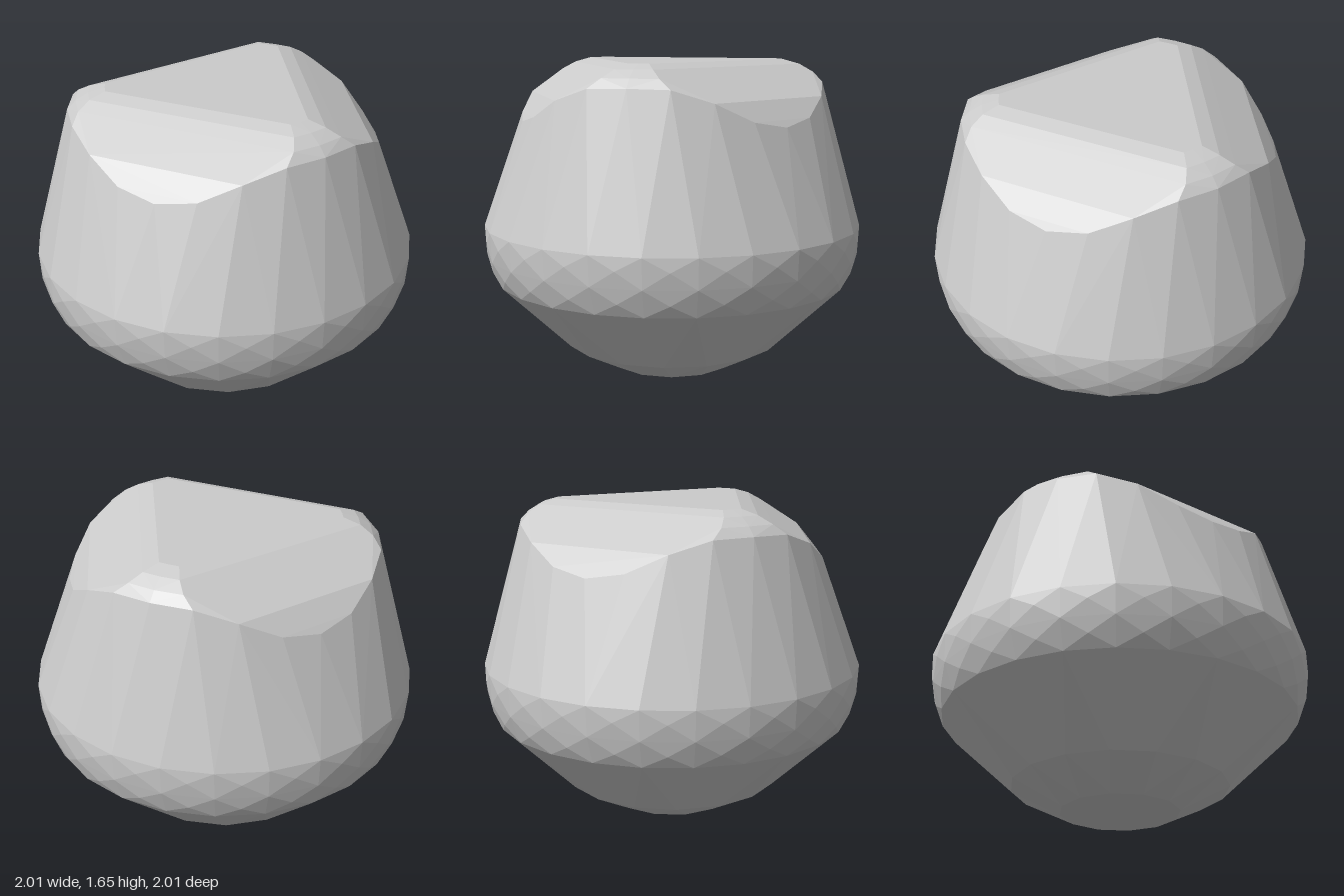
import * as THREE from 'three';
import { ConvexGeometry } from 'three/addons/geometries/ConvexGeometry.js';

const DEG = Math.PI / 180;
const polar = (r, y, deg) => new THREE.Vector3(r * Math.cos(deg * DEG), y, r * Math.sin(deg * DEG));

function ring(r, y, sides, offset = 0) {
  return Array.from({ length: sides }, (_, i) => polar(r, y, (i + offset) * 360 / sides));
}

export function createModel() {
  const group = new THREE.Group();

  // Round lower body: foot, flared underside and faceted belly
  const points = [
    ...ring(0.315, 0, 12, 0.5),
    ...ring(0.57, 0.13, 16, 0.5),
    ...ring(0.943, 0.485, 24, 0.5),
    ...ring(0.972, 0.55, 24),
    ...ring(0.997, 0.63, 24, 0.5),
    ...ring(1.004, 0.715, 24),
    ...ring(1.006, 0.785, 24, 0.5),
  ];

  // Shoulder rim: dips in the middle of each sloping facet, rises at each corner
  const rimHeights = [1.345, 1.38, 1.475, 1.54, 1.545];
  for (let i = 0; i < 24; i++) {
    const fromFacet = Math.abs(((i * 15) % 120) - 60) / 15;
    points.push(polar(0.8, rimHeights[fromFacet], i * 15));
  }

  // Three rounded corners rising to the flat triangular top
  const cornerSteps = [[0.605, 1.655, 5], [0.69, 1.63, 8], [0.755, 1.59, 11]];
  for (const corner of [0, 120, 240]) {
    for (const [r, y, spread] of cornerSteps) {
      for (const side of [-1, 0, 1]) points.push(polar(r, y, corner + side * spread));
    }
  }

  const body = new THREE.Mesh(
    new ConvexGeometry(points),
    new THREE.MeshStandardMaterial({ color: 0xcccccc, flatShading: true })
  );
  body.name = 'facetedBody';
  group.add(body);
  return group;
}
